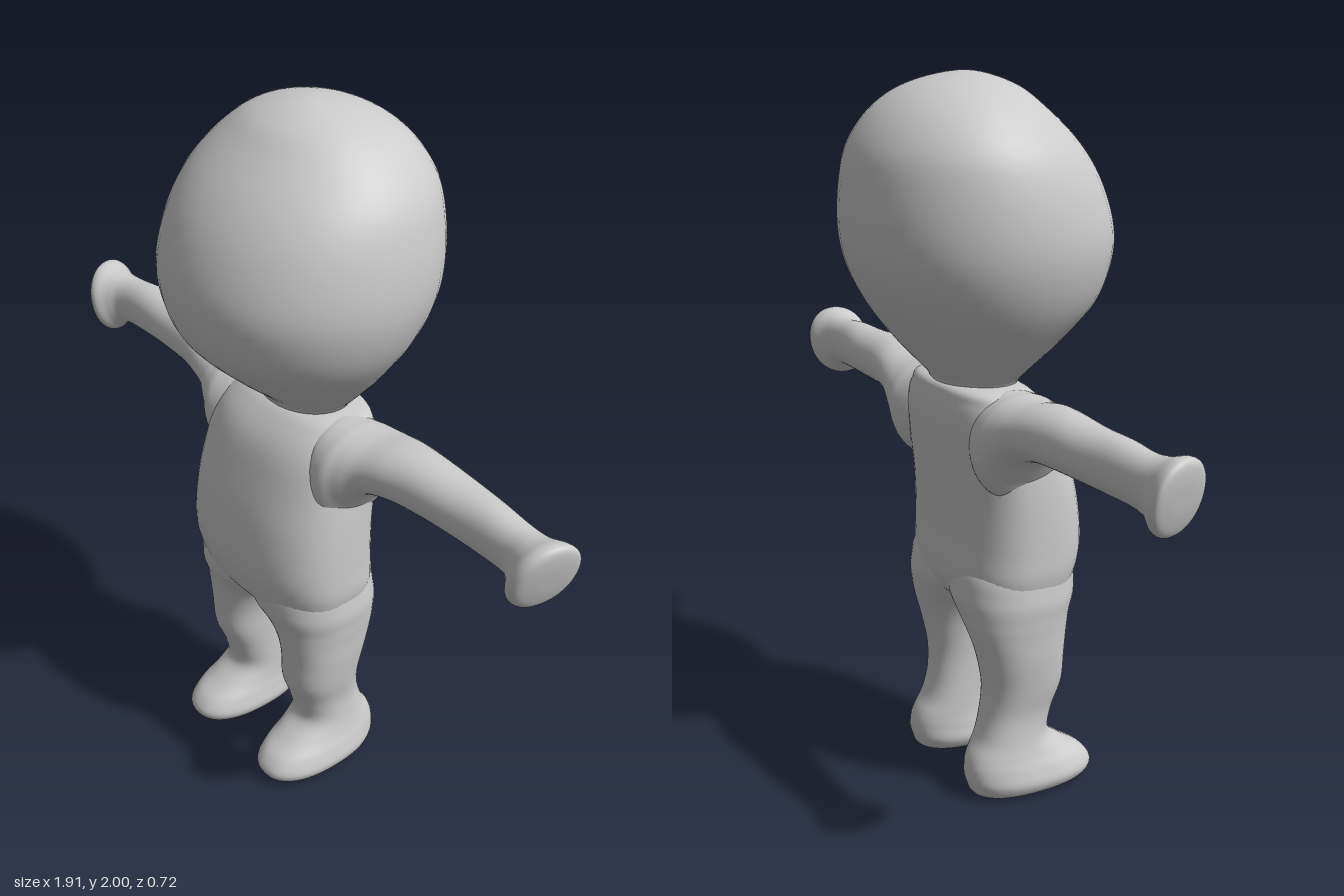
import * as THREE from 'three';

const material = new THREE.MeshStandardMaterial({ color: 0xcccccc });
const SIDES = 48, STEPS = 6;

// Smooth closed skin through sections [t, uMin, uMax, vMin, vMax]; both ends are single points.
// axis 'y': t,u,v = y,x,z    axis 'x': t,u,v = x,y,z
function loft(name, axis, sections, { power = 2, mirror = 1, warp } = {}) {
  const last = sections.length - 1;
  const turned = ([t, a, b, c, d]) => [t, b, a, d, c]; // carries the curve over the pole
  const pts = [turned(sections[1]), ...sections, turned(sections[last - 1])];
  const rings = [];
  for (let i = 0; i < last; i++) {
    for (let k = 0; k < STEPS; k++) {
      const f = k / STEPS;
      rings.push(pts[i + 1].map((p1, n) => {
        const p0 = pts[i][n], p2 = pts[i + 2][n], p3 = pts[i + 3][n];
        return p1 + 0.5 * f * (p2 - p0 + f * (2 * p0 - 5 * p1 + 4 * p2 - p3 + f * (3 * (p1 - p2) + p3 - p0)));
      }));
    }
  }
  rings.push(sections[last]);

  const positions = [], index = [];
  const round = (n) => Math.sign(n) * Math.abs(n) ** (2 / power);
  for (const [t, u0, u1, v0, v1] of rings) {
    for (let j = 0; j < SIDES; j++) {
      const a = (j / SIDES) * Math.PI * 2;
      const u = (u0 + u1) / 2 + (u1 - u0) / 2 * round(Math.cos(a));
      const v = (v0 + v1) / 2 + (v1 - v0) / 2 * round(Math.sin(a));
      const p = axis === 'y' ? new THREE.Vector3(u, t, v) : new THREE.Vector3(t, u, v);
      if (warp) warp(p);
      positions.push(p.x * mirror, p.y, p.z);
    }
  }
  const end = rings.length - 1;
  const id = (i, j) => i * SIDES + (i === 0 || i === end ? 0 : j % SIDES);
  const flip = (axis === 'y') !== (mirror < 0);
  for (let i = 0; i < end; i++) {
    for (let j = 0; j < SIDES; j++) {
      const a = id(i, j), b = id(i, j + 1), c = id(i + 1, j), d = id(i + 1, j + 1);
      const quad = flip ? [[a, c, b], [b, c, d]] : [[a, b, c], [b, d, c]];
      for (const tri of quad) if (new Set(tri).size === 3) index.push(...tri);
    }
  }
  const geometry = new THREE.BufferGeometry();
  geometry.setAttribute('position', new THREE.Float32BufferAttribute(positions, 3));
  geometry.setIndex(index);
  geometry.computeVertexNormals();
  const mesh = new THREE.Mesh(geometry, material);
  mesh.name = name;
  return mesh;
}

// Large egg-shaped head narrowing into the neck
const head = [
  [1.08, 0, 0, 0, 0],
  [1.13, -0.13, 0.13, -0.10, 0.07],
  [1.19, -0.155, 0.155, -0.115, 0.10],
  [1.23, -0.19, 0.19, -0.15, 0.14],
  [1.30, -0.25, 0.25, -0.215, 0.22],
  [1.40, -0.32, 0.32, -0.29, 0.315],
  [1.50, -0.36, 0.36, -0.34, 0.355],
  [1.60, -0.373, 0.373, -0.36, 0.36],
  [1.72, -0.36, 0.36, -0.355, 0.32],
  [1.82, -0.325, 0.325, -0.33, 0.255],
  [1.91, -0.25, 0.25, -0.265, 0.165],
  [1.97, -0.15, 0.15, -0.17, 0.085],
  [2.0, 0, 0, -0.03, -0.03],
];

// Torso with round belly
const torso = [
  [0.53, 0, 0, 0.05, 0.05],
  [0.55, -0.15, 0.15, -0.06, 0.15],
  [0.60, -0.25, 0.25, -0.105, 0.21],
  [0.66, -0.277, 0.277, -0.122, 0.238],
  [0.75, -0.28, 0.28, -0.12, 0.255],
  [0.88, -0.278, 0.278, -0.122, 0.24],
  [1.00, -0.272, 0.272, -0.135, 0.205],
  [1.09, -0.262, 0.262, -0.14, 0.17],
  [1.15, -0.24, 0.24, -0.13, 0.125],
  [1.185, -0.19, 0.19, -0.11, 0.075],
  [1.195, 0, 0, -0.02, -0.02],
];

// Leg and foot in one skin, sole first
const leg = [
  [0.005, 0.165, 0.165, 0.08, 0.08],
  [0.01, 0.09, 0.245, -0.08, 0.23],
  [0.045, 0.058, 0.275, -0.112, 0.275],
  [0.09, 0.062, 0.268, -0.118, 0.25],
  [0.13, 0.068, 0.255, -0.108, 0.19],
  [0.18, 0.07, 0.245, -0.08, 0.135],
  [0.25, 0.07, 0.242, -0.062, 0.145],
  [0.33, 0.068, 0.255, -0.058, 0.172],
  [0.42, 0.062, 0.267, -0.075, 0.176],
  [0.49, 0.042, 0.272, -0.096, 0.185],
  [0.54, 0.005, 0.276, -0.11, 0.197],
  [0.61, -0.05, 0.278, -0.12, 0.22],
  [0.70, -0.03, 0.25, -0.09, 0.2],
  [0.76, 0.12, 0.12, 0.05, 0.05],
];

// Arm flaring into the shoulder and ending in a blunt, flared hand
const arm = [
  [0.10, 1.04, 1.04, 0, 0],
  [0.15, 0.93, 1.17, -0.10, 0.11],
  [0.23, 0.90, 1.188, -0.135, 0.145],
  [0.28, 0.965, 1.188, -0.13, 0.125],
  [0.33, 1.025, 1.19, -0.12, 0.10],
  [0.40, 1.048, 1.202, -0.108, 0.085],
  [0.48, 1.053, 1.205, -0.098, 0.07],
  [0.60, 1.055, 1.198, -0.09, 0.06],
  [0.72, 1.05, 1.197, -0.073, 0.052],
  [0.81, 1.045, 1.188, -0.064, 0.052],
  [0.855, 1.028, 1.192, -0.065, 0.07],
  [0.895, 1.003, 1.205, -0.08, 0.095],
  [0.922, 1.008, 1.198, -0.076, 0.09],
  [0.932, 1.05, 1.16, -0.04, 0.055],
  [0.934, 1.105, 1.105, 0.01, 0.01],
];

// Slants the hand so its blunt end faces slightly down and forward
function slantHand(p) {
  const k = THREE.MathUtils.smoothstep(p.x, 0.76, 0.9);
  p.x += k * ((p.y - 1.105) * 0.25 - (p.z - 0.01) * 0.25);
}

export function createModel() {
  const model = new THREE.Group();
  model.name = 'figure';
  model.add(loft('head', 'y', head, { power: 2.06 }), loft('torso', 'y', torso, { power: 2.6 }));
  for (const [side, mirror] of [['left', 1], ['right', -1]]) {
    model.add(
      loft(side + 'Leg', 'y', leg, { power: 2.3, mirror }),
      loft(side + 'Arm', 'x', arm, { power: 2.1, mirror, warp: slantHand }),
    );
  }
  return model;
}
